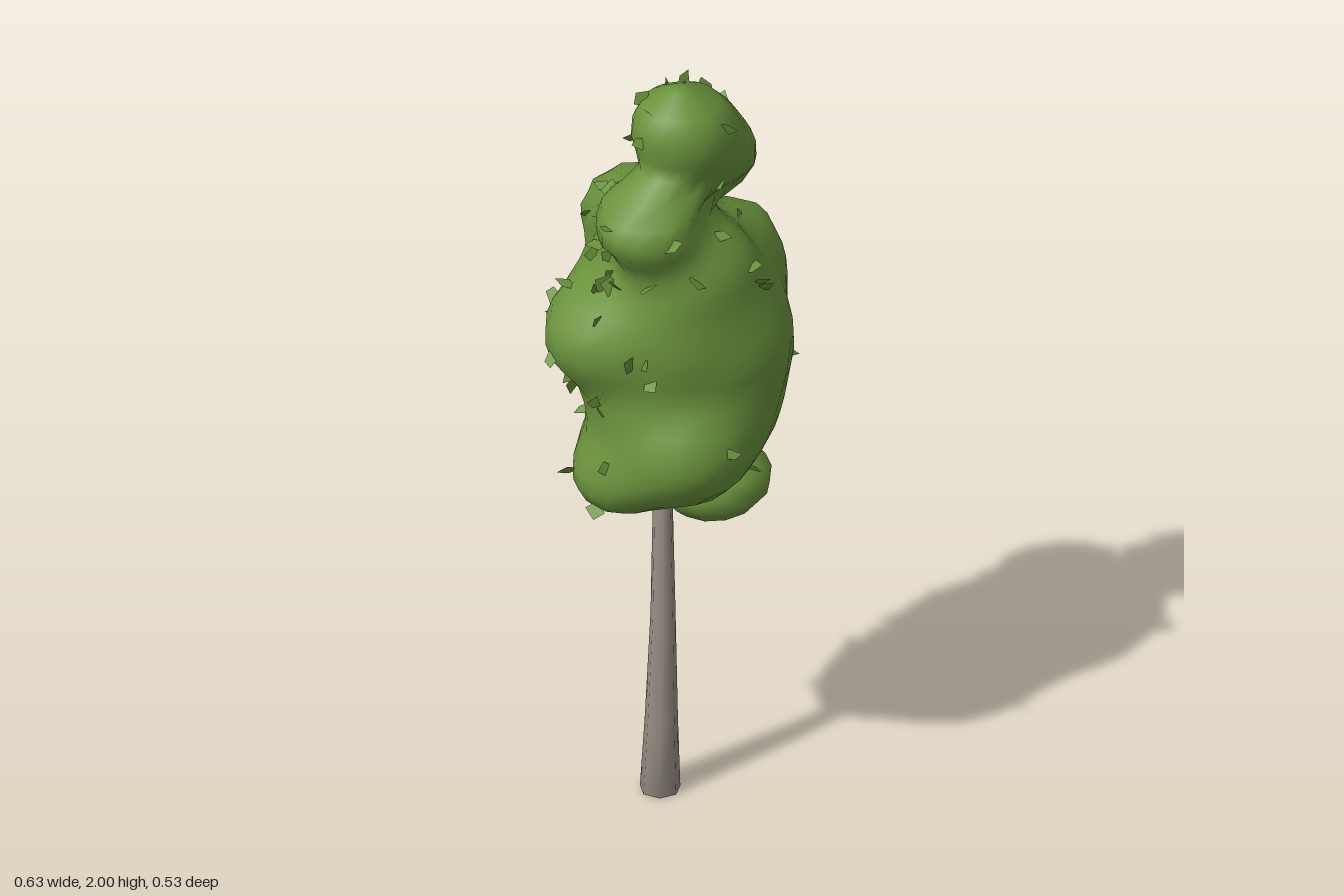
import * as THREE from 'three';

const foliage = new THREE.MeshStandardMaterial({ color: 0x6b933d });
foliage.name = 'leaf green';
foliage.side = THREE.DoubleSide;
const bark = new THREE.MeshStandardMaterial({ color: 0x989086 });
bark.name = 'grey bark';

// Leaf clumps of the crown: centre x, y, z, then radii x, y, z
const CLUMPS = [
  // Head
  [0.025, 1.885, 0.035, 0.115, 0.115, 0.115],
  [0.08, 1.83, 0, 0.11, 0.11, 0.115],
  [0.14, 1.76, -0.035, 0.09, 0.085, 0.095],
  // Shoulders
  [-0.06, 1.66, 0.09, 0.13, 0.11, 0.145],
  [-0.05, 1.575, -0.125, 0.13, 0.105, 0.12],
  [0.06, 1.52, 0.06, 0.14, 0.12, 0.15],
  // Broad middle
  [0.19, 1.37, -0.11, 0.135, 0.2, 0.125],
  [0.15, 1.28, 0.06, 0.155, 0.22, 0.145],
  [-0.16, 1.31, 0.01, 0.14, 0.13, 0.145],
  [-0.03, 1.33, -0.09, 0.18, 0.22, 0.13],
  [0.02, 1.33, 0.08, 0.18, 0.24, 0.145],
  // Lower part
  [0.12, 1.12, -0.09, 0.14, 0.17, 0.12],
  [0.14, 1.09, 0.05, 0.12, 0.14, 0.13],
  [0.02, 1.04, 0.145, 0.15, 0.14, 0.135],
  [-0.07, 1.12, 0.02, 0.13, 0.16, 0.14],
  [-0.115, 0.94, 0.05, 0.125, 0.1, 0.13],
  [-0.04, 0.96, -0.07, 0.13, 0.11, 0.11],
  [0.05, 0.98, 0.03, 0.12, 0.11, 0.13],
];

// Core line of the crown: y, x, z
const CORE = [
  [0.83, -0.08, 0.03], [1.0, 0, 0.04], [1.3, 0.02, 0], [1.55, 0, 0],
  [1.66, 0.01, 0.03], [1.75, 0.07, 0.02], [1.9, 0.04, 0.03], [2.0, 0.03, 0.035],
];

function coreAt(y) {
  let i = 0;
  while (i < CORE.length - 2 && y > CORE[i + 1][0]) i++;
  const a = CORE[i], b = CORE[i + 1];
  const t = THREE.MathUtils.clamp((y - a[0]) / (b[0] - a[0]), 0, 1);
  return [a[1] + (b[1] - a[1]) * t, a[2] + (b[2] - a[2]) * t];
}

// Smoothly blended distance to all clumps
function field(x, y, z) {
  const k = 0.08;
  let d = 1;
  for (const [cx, cy, cz, rx, ry, rz] of CLUMPS) {
    const e = (Math.hypot((x - cx) / rx, (y - cy) / ry, (z - cz) / rz) - 1) * Math.min(rx, ry, rz);
    const h = Math.max(k - Math.abs(d - e), 0) / k;
    d = Math.min(d, e) - h * h * k * 0.25;
  }
  return d;
}

// Point on the crown's skin at a height and angle
function skin(y, angle) {
  const [cx, cz] = coreAt(y);
  const c = Math.cos(angle), s = Math.sin(angle);
  let r = 0.45;
  while (r > 0.005 && field(cx + c * r, y, cz + s * r) > 0) r -= 0.003;
  return new THREE.Vector3(cx + c * r, y, cz + s * r);
}

// Closed smooth surface through rings listed from bottom to top
function loft(rings) {
  const n = rings[0].length, pos = [], idx = [];
  for (const ring of rings) for (const p of ring) pos.push(p.x, p.y, p.z);
  for (let i = 0; i < rings.length - 1; i++) {
    for (let j = 0; j < n; j++) {
      const a = i * n + j, b = i * n + (j + 1) % n;
      idx.push(a, a + n, b, b, a + n, b + n);
    }
  }
  // End caps with their own middle points
  [0, rings.length - 1].forEach((r, top) => {
    const mid = rings[r].reduce((m, p) => m.add(p), new THREE.Vector3()).divideScalar(n);
    const m = pos.length / 3;
    pos.push(mid.x, mid.y, mid.z);
    for (let j = 0; j < n; j++) {
      const a = r * n + j, b = r * n + (j + 1) % n;
      if (top) idx.push(m, b, a); else idx.push(m, a, b);
    }
  });
  const g = new THREE.BufferGeometry();
  g.setAttribute('position', new THREE.Float32BufferAttribute(pos, 3));
  g.setIndex(idx);
  g.computeVertexNormals();
  return g;
}

function ringOf(n, fn) {
  return Array.from({ length: n }, (_, j) => fn((j / n) * Math.PI * 2));
}

let seed = 11;
function rand() {
  seed = (seed * 16807) % 2147483647;
  return seed / 2147483647;
}

// Loose leaves: small crooked four-sided plates poking out of the skin
function leavesGeometry(count) {
  const pos = [];
  for (let i = 0; i < count; i++) {
    const y = 0.88 + rand() * 1.08;
    // Thicker towards the left-hand and rear sides of the crown
    const angle = rand() < 0.6 ? Math.PI * (0.8 + rand()) : Math.PI * 2 * rand();
    const p = skin(y, angle);
    const e = 0.01;
    const out = new THREE.Vector3(
      field(p.x + e, p.y, p.z) - field(p.x - e, p.y, p.z),
      field(p.x, p.y + e, p.z) - field(p.x, p.y - e, p.z),
      field(p.x, p.y, p.z + e) - field(p.x, p.y, p.z - e)).normalize();
    const wild = () => new THREE.Vector3(rand() - 0.5, rand() - 0.5, rand() - 0.5);
    const u = out.clone().addScaledVector(wild(), 1.8).normalize();
    const v = wild().cross(u).normalize();
    const len = 0.035 + rand() * 0.03, w = 0.015 + rand() * 0.014;
    const at = (a, b) => p.clone().addScaledVector(u, a * len).addScaledVector(v, b * w);
    const q = [at(-0.4, 0.3), at(0.1, -1), at(0.65, -0.1 + rand() * 0.4), at(0.25, 0.9)];
    for (const k of [0, 1, 2, 0, 2, 3]) pos.push(q[k].x, q[k].y, q[k].z);
  }
  const g = new THREE.BufferGeometry();
  g.setAttribute('position', new THREE.Float32BufferAttribute(pos, 3));
  g.computeVertexNormals();
  return g;
}

export function createModel() {
  const tree = new THREE.Group();
  tree.name = 'tree';
  const add = (name, geometry, material) => {
    const mesh = new THREE.Mesh(geometry, material);
    mesh.name = name;
    tree.add(mesh);
    return mesh;
  };

  // Trunk: y, x, z, radius
  const trunk = [
    [0, -0.016, 0.017, 0.05], [0.2, -0.014, 0.022, 0.041], [0.5, -0.011, 0.028, 0.031],
    [0.8, -0.01, 0.02, 0.025], [0.95, -0.005, 0.015, 0.022],
  ];
  add('trunk', loft(trunk.map(([y, x, z, r]) =>
    ringOf(7, (a) => new THREE.Vector3(x + r * Math.cos(a), y, z + r * Math.sin(a))))), bark);

  // Crown
  const rows = 28, bottom = 0.835, top = 1.997;
  const rings = [];
  for (let i = 0; i <= rows; i++) {
    const y = bottom + (top - bottom) * (i / rows);
    rings.push(ringOf(26, (a) => skin(y, a)));
  }
  add('crown', loft(rings), foliage);

  // Low side clump
  const clump = add('lowClump', new THREE.SphereGeometry(1, 12, 8), foliage);
  clump.scale.set(0.14, 0.095, 0.135);
  clump.position.set(0.12, 0.868, 0.015);
  clump.rotation.z = 0.1;

  add('looseLeaves', leavesGeometry(105), foliage);
  return tree;
}
